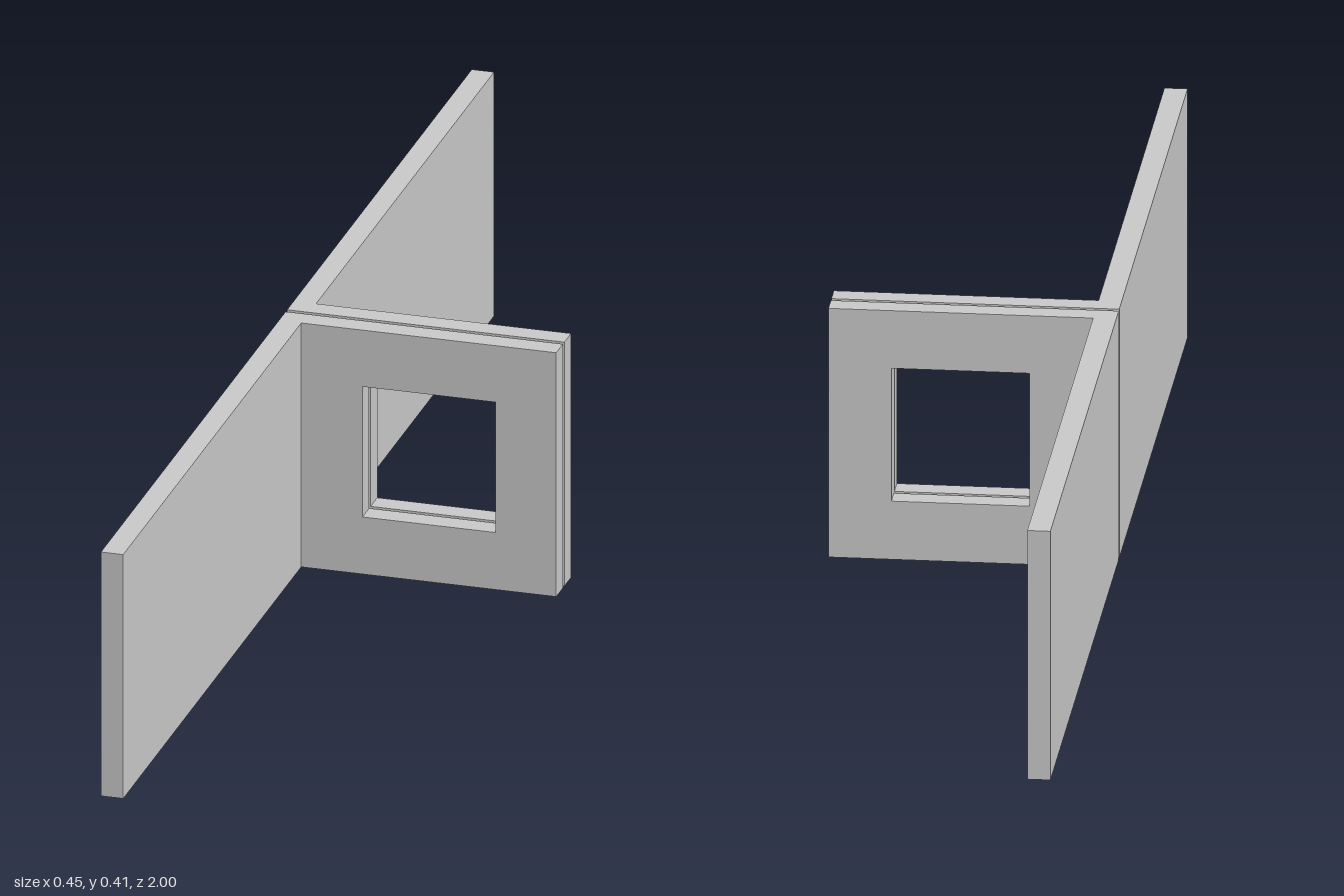
import * as THREE from 'three';

const HEIGHT = 0.41, HALF_WIDTH = 0.224, THICK = 0.036, GAP = 0.004;

function rectangle(PathType, x0, y0, x1, y1) {
  return new PathType([[x0, y0], [x1, y0], [x1, y1], [x0, y1]].map(([x, y]) => new THREE.Vector2(x, y)));
}

export function createModel() {
  const model = new THREE.Group();
  const material = new THREE.MeshStandardMaterial({ color: 0xcccccc, flatShading: true });

  // Flange outline with its square window
  const outline = rectangle(THREE.Shape, -HALF_WIDTH + THICK, 0, HALF_WIDTH, HEIGHT);
  outline.holes.push(rectangle(THREE.Path, -0.089, 0.096, 0.126, 0.315));
  const flangeGeometry = new THREE.ExtrudeGeometry(outline, { depth: THICK, bevelEnabled: false });

  // Long wall, running from the central gap to the end
  const wallLength = 1 - GAP;
  const wallGeometry = new THREE.BoxGeometry(THICK, HEIGHT, wallLength);

  // Two L-shaped panels, mirrored about the gap
  for (const side of [1, -1]) {
    const panel = new THREE.Group();
    panel.name = side > 0 ? 'frontPanel' : 'backPanel';

    const wall = new THREE.Mesh(wallGeometry, material);
    wall.name = 'longWall';
    wall.position.set(-HALF_WIDTH + THICK / 2, HEIGHT / 2, side * (GAP + wallLength / 2));

    const flange = new THREE.Mesh(flangeGeometry, material);
    flange.name = 'windowFlange';
    flange.position.z = side > 0 ? GAP : -GAP - THICK;

    panel.add(wall, flange);
    model.add(panel);
  }
  return model;
}
